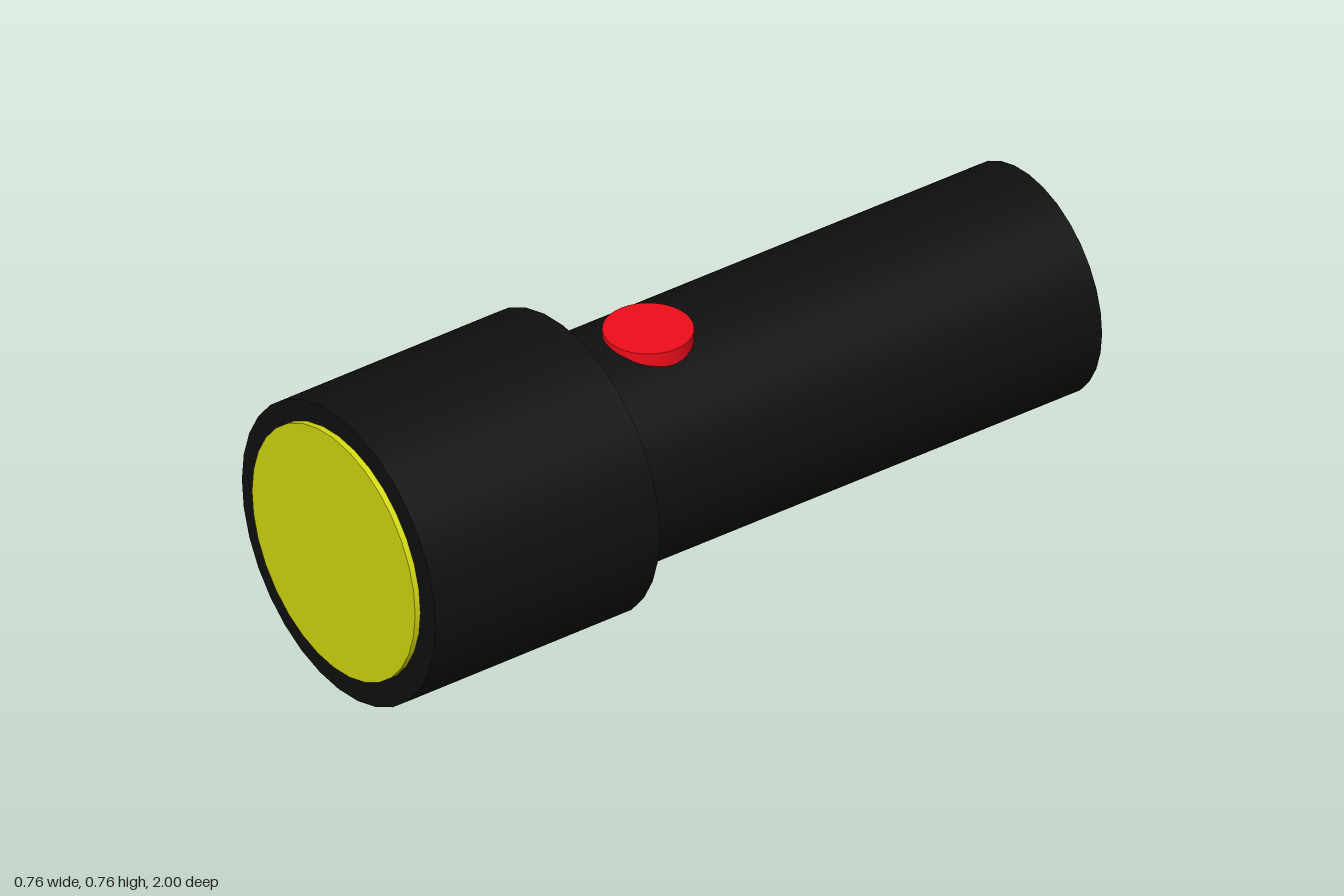
import * as THREE from 'three';

export function createModel() {
  const model = new THREE.Group();
  const black = new THREE.MeshStandardMaterial({ color: 0x101010 });
  const yellow = new THREE.MeshStandardMaterial({ color: 0xd6dc10 });
  const red = new THREE.MeshStandardMaterial({ color: 0xf00d1a });

  // Closed cylinder lying along z, from zBack to zFront
  function barrel(name, radius, zBack, zFront, x, y, material) {
    const geometry = new THREE.CylinderGeometry(radius, radius, zFront - zBack, 32);
    geometry.rotateX(Math.PI / 2);
    const mesh = new THREE.Mesh(geometry, material);
    mesh.name = name;
    mesh.position.set(x, y, (zBack + zFront) / 2);
    model.add(mesh);
    return mesh;
  }

  // Handle, very slightly raised towards the head
  const handle = barrel('handle', 0.288, -1, 0.325, -0.002, 0.365, black);
  handle.rotation.x = -0.004;

  // Wide head with the lens standing just proud of its front
  barrel('head', 0.38, 0.34, 0.985, 0, 0.383, black);
  barrel('lens', 0.32, 0.95, 1, 0, 0.39, yellow);

  // Round switch sunk into the top of the handle
  const button = new THREE.Mesh(new THREE.CylinderGeometry(0.107, 0.107, 0.06, 32), red);
  button.name = 'switchButton';
  button.position.set(0.013, 0.638, 0.105);
  model.add(button);

  return model;
}
